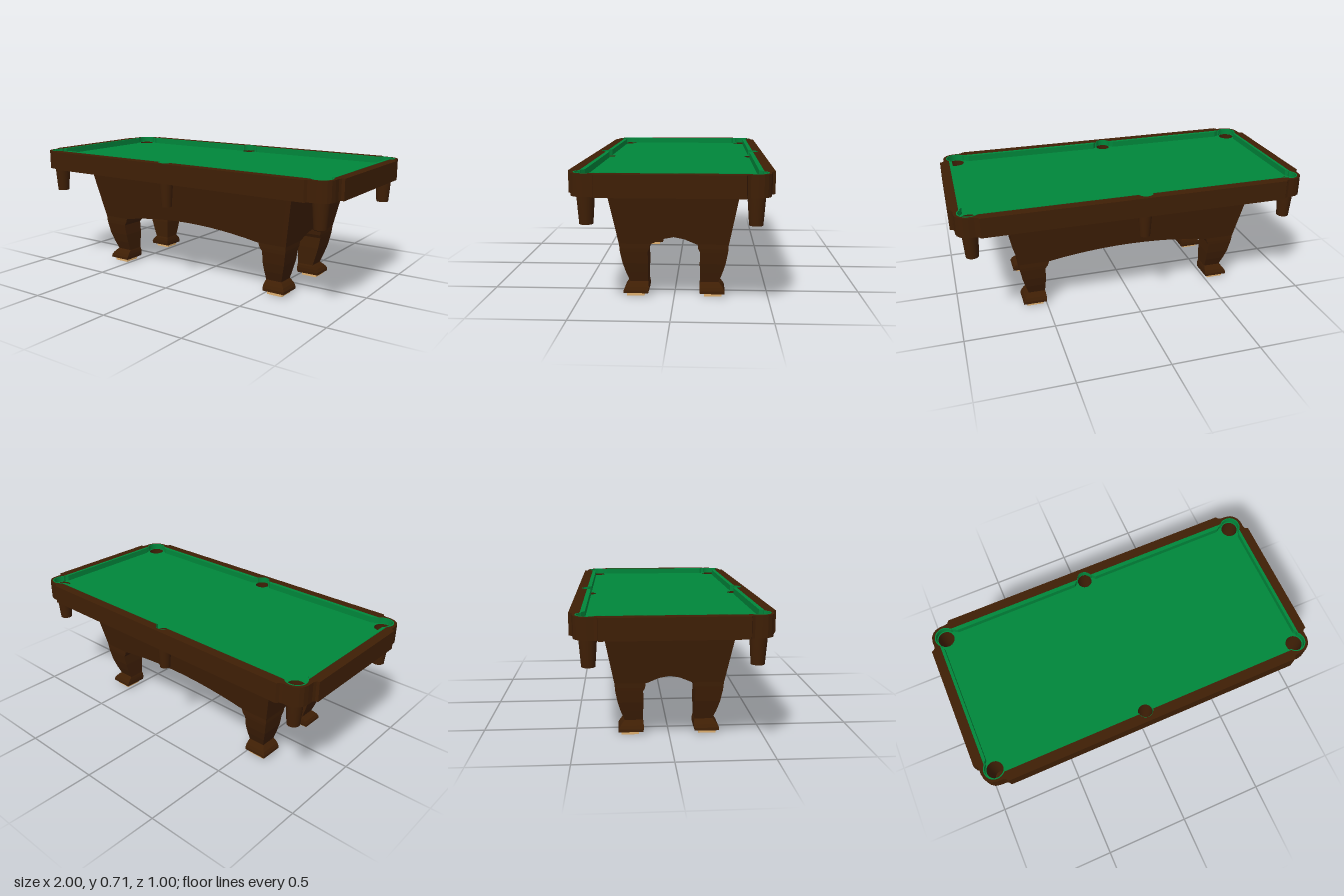
import * as THREE from 'three';

const wood = new THREE.MeshStandardMaterial({ color: 0x3f1f05, side: THREE.DoubleSide });
wood.name = 'dark wood';
const felt = new THREE.MeshStandardMaterial({ color: 0x00873b });
felt.name = 'green felt';
const tan = new THREE.MeshStandardMaterial({ color: 0xe0b070 });
tan.name = 'pale wood';

const BED = 0.676, RAIL = 0.71, UNDER = 0.6;
const CORNER = { x: 0.904, z: 0.408, r: 0.046 };
const SIDE = { x: -0.037, z: 0.435, r: 0.04 };
const pockets = [];
for (const s of [-1, 1]) {
  pockets.push([CORNER.x, s * CORNER.z, CORNER.r], [-CORNER.x, s * CORNER.z, CORNER.r], [SIDE.x, s * SIDE.z, SIDE.r]);
}

const polygon = (pts) => new THREE.Shape(pts.map(([x, y]) => new THREE.Vector2(x, y)));

// Outer rail outline: one corner, mirrored to four
function outerOutline() {
  const q = [[1, 0.355], [0.985, 0.36], [0.978, 0.375], [0.978, 0.41], [0.972, 0.438], [0.958, 0.458],
    [0.938, 0.473], [0.91, 0.479], [0.88, 0.48], [0.865, 0.485], [0.855, 0.5]];
  const r = [...q].reverse();
  return polygon([
    ...q, ...r.map(([x, y]) => [-x, y]),
    ...q.map(([x, y]) => [-x, -y]), ...r.map(([x, y]) => [x, -y]),
  ]);
}

// Inner outline: a rectangle bulging round the six pockets, shrunk by d
function innerOutline(d) {
  const X = 0.947 - d, Z = 0.445 - d, R = 0.058 - d, S = 0.0425 - d / 4, P = Math.PI;
  const dx = X - CORNER.x, dz = Z - CORNER.z, ds = Z - SIDE.z;
  const a0 = Math.atan2(-Math.sqrt(R * R - dx * dx), dx);
  const a1 = Math.atan2(dz, -Math.sqrt(R * R - dz * dz));
  const b0 = Math.atan2(ds, Math.sqrt(S * S - ds * ds));
  const s = new THREE.Shape();
  s.absarc(CORNER.x, CORNER.z, R, a0, a1, false);
  s.absarc(SIDE.x, SIDE.z, S, b0, P - b0, false);
  s.absarc(-CORNER.x, CORNER.z, R, P - a1, P - a0, false);
  s.absarc(-CORNER.x, -CORNER.z, R, P + a0, P + a1, false);
  s.absarc(SIDE.x, -SIDE.z, S, P + b0, 2 * P - b0, false);
  s.absarc(CORNER.x, -CORNER.z, R, -a1, -a0, false);
  s.closePath();
  return s;
}

function addPocketHoles(shape) {
  for (const [x, z, r] of pockets) {
    const hole = new THREE.Path();
    hole.absarc(x, z, r, 0, Math.PI * 2, true);
    shape.holes.push(hole);
  }
  return shape;
}

// Plan shape raised from y0 to y1
function slab(shape, y0, y1) {
  const g = new THREE.ExtrudeGeometry(shape, { depth: y1 - y0, bevelEnabled: false, curveSegments: 14 });
  return g.rotateX(-Math.PI / 2).translate(0, y0, 0);
}

// Upright panel whose outer face leans inward towards the bottom
function leaningPanel(shape, top, slope) {
  const g = new THREE.ExtrudeGeometry(shape, { depth: 0.03, bevelEnabled: false, curveSegments: 12 });
  const p = g.attributes.position;
  for (let i = 0; i < p.count; i++) p.setZ(i, p.getZ(i) - 0.03 + top - (UNDER - p.getY(i)) * slope);
  g.computeVertexNormals();
  return g;
}

// Flat-faced loft through rectangles [y, xInner, xOuter, zInner, zOuter]
function loft(rows, sx, sz) {
  const rings = rows.map(([y, xi, xo, zi, zo]) => {
    const [xa, xb] = [sx * xi, sx * xo].sort((a, b) => a - b);
    const [za, zb] = [sz * zi, sz * zo].sort((a, b) => a - b);
    return [[xa, y, zb], [xb, y, zb], [xb, y, za], [xa, y, za]];
  });
  const v = [];
  const quad = (a, b, c, d) => v.push(...a, ...b, ...c, ...a, ...c, ...d);
  for (let i = 0; i + 1 < rings.length; i++) {
    for (let k = 0; k < 4; k++) {
      const n = (k + 1) % 4;
      quad(rings[i][k], rings[i][n], rings[i + 1][n], rings[i + 1][k]);
    }
  }
  quad(...rings[rings.length - 1]);
  quad(...[...rings[0]].reverse());
  const g = new THREE.BufferGeometry();
  g.setAttribute('position', new THREE.Float32BufferAttribute(v, 3));
  g.computeVertexNormals();
  return g;
}

export function createModel() {
  const table = new THREE.Group();
  table.name = 'poolTable';
  const add = (name, geometry, material) => {
    const m = new THREE.Mesh(geometry, material);
    m.name = name;
    table.add(m);
    return m;
  };

  // Rail frame, slab under the bed and playing surface
  const frame = outerOutline();
  frame.holes.push(innerOutline(0));
  add('railFrame', slab(frame, UNDER, RAIL), wood);
  add('bedSlab', slab(addPocketHoles(innerOutline(0)), UNDER, BED), wood);
  const cloth = new THREE.ShapeGeometry(addPocketHoles(innerOutline(0)), 14);
  add('playingSurface', cloth.rotateX(-Math.PI / 2).translate(0, BED + 0.001, 0), felt);

  // Felt lining and cushions
  const lining = innerOutline(0);
  lining.holes.push(innerOutline(0.006));
  add('feltLining', slab(lining, BED, RAIL + 0.001), felt);
  for (const s of [-1, 1]) {
    for (const [a, b, c, d] of [[0.008, 0.028, 0.825, 0.86], [-0.082, -0.102, -0.825, -0.86]]) {
      add('longCushion', slab(polygon([[a, s * 0.444], [b, s * 0.422], [c, s * 0.422], [d, s * 0.444]]), BED, RAIL + 0.0015), felt);
    }
    add('endCushion', slab(polygon([[s * 0.946, -0.365], [s * 0.93, -0.345], [s * 0.93, 0.345], [s * 0.946, 0.365]]), BED, RAIL + 0.0015), felt);
  }

  // Tapered pocket cups
  for (const [x, z, r] of pockets) {
    const profile = [[0, 0.458], [r * 0.74, 0.458], [r * 0.74, 0.458], [r * 0.97, UNDER], [r, BED + 0.001]];
    const cup = new THREE.LatheGeometry(profile.map(([a, b]) => new THREE.Vector2(a, b)), 24);
    add('pocketCup', cup.translate(x, 0, z), wood);
  }

  // Leaning apron with arched lower edges
  const longShape = polygon([[0.65, 0.295], [0.71, UNDER], [-0.71, UNDER], [-0.65, 0.295], [-0.48, 0.295]]);
  longShape.quadraticCurveTo(0, 0.386, 0.48, 0.295);
  const endShape = polygon([[0.288, 0.295], [0.345, UNDER], [-0.345, UNDER], [-0.288, 0.295],
    [-0.12, 0.295], [-0.055, 0.324], [0, 0.335], [0.055, 0.324], [0.12, 0.295]]);
  for (const s of [-1, 1]) {
    add('longApron', leaningPanel(longShape, 0.345, 0.187), wood).rotation.y = s > 0 ? 0 : Math.PI;
    add('endApron', leaningPanel(endShape, 0.71, 0.197), wood).rotation.y = s * Math.PI / 2;
  }

  // Curved legs with flared feet on pale pads; corner posts rise inside the apron
  const legRows = [
    [0.02, 0.502, 0.635, 0.138, 0.27], [0.035, 0.5, 0.634, 0.135, 0.269], [0.052, 0.5, 0.625, 0.135, 0.26],
    [0.068, 0.502, 0.61, 0.137, 0.246], [0.077, 0.504, 0.6, 0.14, 0.236], [0.13, 0.502, 0.617, 0.138, 0.256],
    [0.185, 0.5, 0.633, 0.136, 0.272], [0.25, 0.503, 0.645, 0.138, 0.284], [0.27, 0.488, 0.648, 0.128, 0.286],
    [0.295, 0.48, 0.65, 0.125, 0.287], [UNDER, 0.48, 0.7, 0.125, 0.335],
  ];
  for (const sx of [-1, 1]) {
    for (const sz of [-1, 1]) {
      add('leg', loft(legRows, sx, sz), wood);
      add('footPad', new THREE.BoxGeometry(0.094, 0.022, 0.094).translate(sx * 0.567, 0.011, sz * 0.207), tan);
    }
  }
  return table;
}
